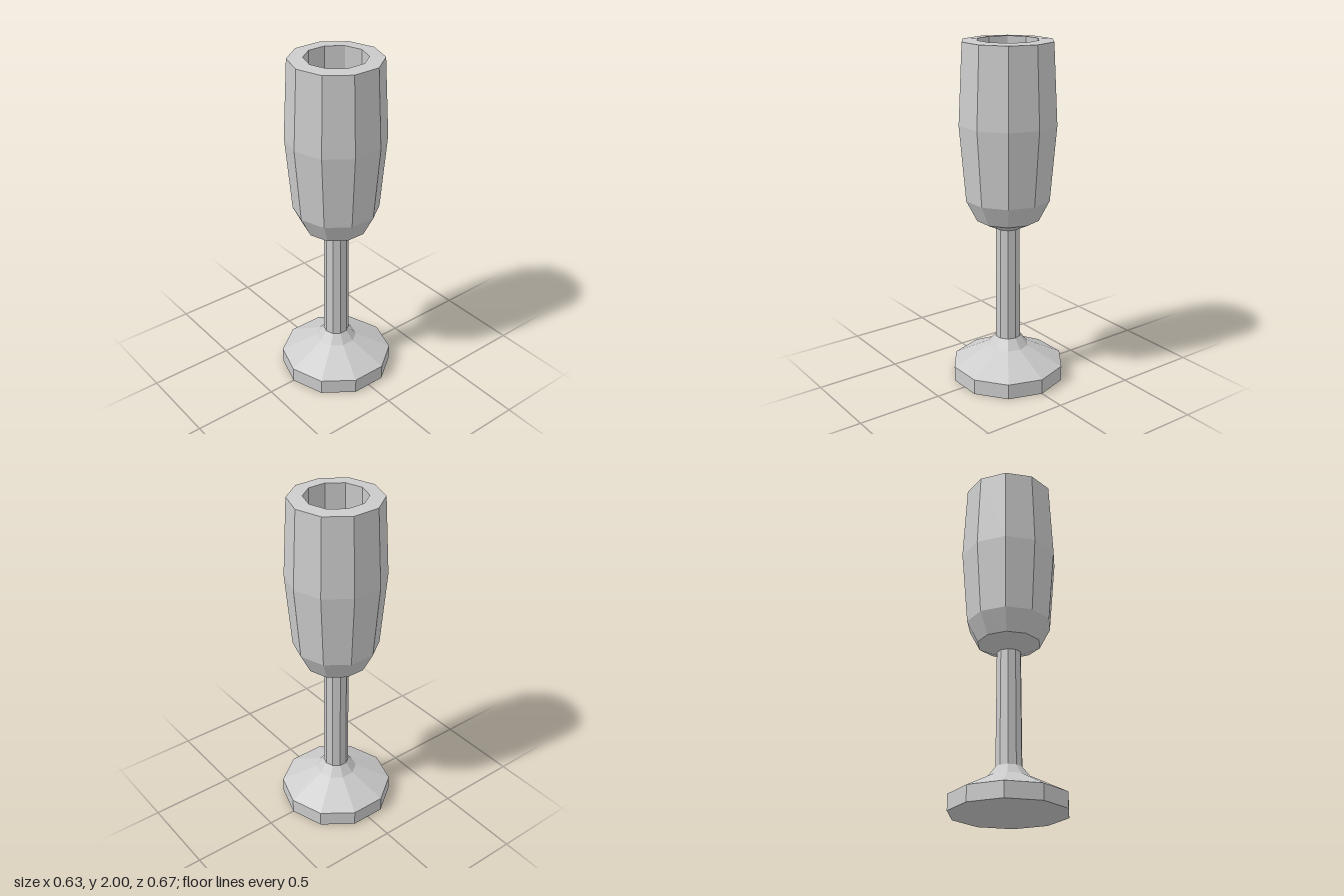
import * as THREE from 'three';

const SIDES = 10;

// Ten-sided turned part from [radius, height] pairs, outer profile running upwards
function turned(name, profile, material) {
  const points = profile.map(([r, y]) => new THREE.Vector2(r, y));
  const mesh = new THREE.Mesh(new THREE.LatheGeometry(points, SIDES), material);
  mesh.name = name;
  return mesh;
}

export function createModel() {
  const group = new THREE.Group();
  group.name = 'goblet';
  const material = new THREE.MeshStandardMaterial({ color: 0xcccccc, flatShading: true });

  // Foot: flat disc with a slope rising to the stem
  group.add(turned('foot', [
    [0, 0], [0.333, 0], [0.333, 0.09], [0.122, 0.197], [0.075, 0.255],
  ], material));

  // Slim stem
  group.add(turned('stem', [[0.075, 0.255], [0.071, 0.93]], material));

  // Bowl: outer wall up to the rim, then the inner wall down to the floor
  group.add(turned('bowl', [
    [0.071, 0.93], [0.184, 0.985], [0.247, 1.108], [0.284, 1.542], [0.26, 1.995],
    [0.174, 2], [0.19, 1.55], [0.165, 1.14], [0.115, 1.04], [0.08, 1.01], [0, 1.01],
  ], material));

  return group;
}
